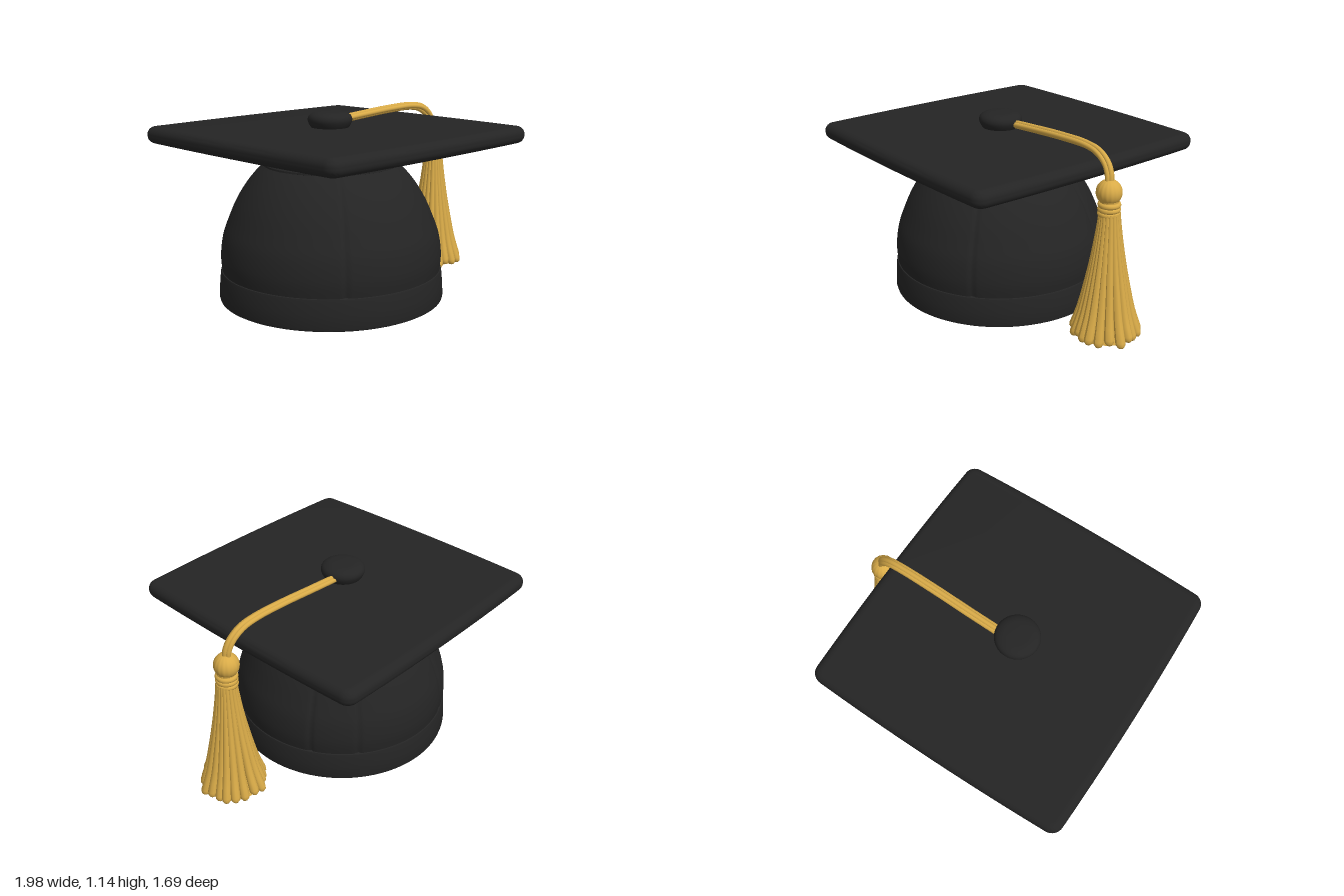
import * as THREE from 'three';
import { toCreasedNormals } from 'three/addons/utils/BufferGeometryUtils.js';

const black = new THREE.MeshStandardMaterial({ color: 0x242424 });
black.name = 'black cloth';
const gold = new THREE.MeshStandardMaterial({ color: 0xd9ab48 });
gold.name = 'gold thread';

const CAP_X = -0.2;
const TASSEL_X = 0.78;
const rad = THREE.MathUtils.degToRad;
const v2 = (pts) => pts.map(([x, y]) => new THREE.Vector2(x, y));
const smooth = (pts, n) => new THREE.SplineCurve(v2(pts)).getPoints(n);

function add(parent, name, geometry, material, x = 0, y = 0, z = 0) {
  const mesh = new THREE.Mesh(geometry, material);
  mesh.name = name;
  mesh.position.set(x, y, z);
  parent.add(mesh);
}

const creasedLathe = (points, segments) =>
  toCreasedNormals(new THREE.LatheGeometry(points, segments), 0.7);

// Dome with shallow stitched grooves between the cloth panels
function domeGeometry() {
  const profile = smooth([[0.672, 0.18], [0.679, 0.28], [0.663, 0.4], [0.628, 0.5],
    [0.58, 0.61], [0.52, 0.71], [0.455, 0.79], [0.4, 0.84]], 32);
  const geo = new THREE.LatheGeometry(profile, 288);
  const seams = [-37, 37, 116, 141, 202, 223].map(rad);
  const pos = geo.attributes.position;
  for (let i = 0; i < pos.count; i++) {
    const x = pos.getX(i), z = pos.getZ(i), phi = Math.atan2(x, z);
    let k = 1;
    for (const s of seams) {
      const d = Math.atan2(Math.sin(phi - s), Math.cos(phi - s)) / 0.02;
      k -= 0.014 * Math.exp(-d * d);
    }
    pos.setX(i, x * k);
    pos.setZ(i, z * k);
  }
  geo.computeVertexNormals();
  return geo;
}

// Square board with gently bowed sides and a rounded rim
function boardGeometry() {
  const c = 0.78, d = 0.025, shape = new THREE.Shape();
  const turn = (x, y, k) => {
    for (let i = 0; i < k; i++) [x, y] = [-y, x];
    return [x, y];
  };
  shape.moveTo(c, -c + d);
  for (let k = 0; k < 4; k++) {
    shape.quadraticCurveTo(...turn(c + 0.03, 0, k), ...turn(c, c - d, k));
    shape.quadraticCurveTo(...turn(c, c, k), ...turn(c - d, c, k));
  }
  const geo = new THREE.ExtrudeGeometry(shape, {
    depth: 0.01, bevelThickness: 0.047, bevelSize: 0.05, bevelSegments: 7, curveSegments: 10,
  });
  geo.rotateX(-Math.PI / 2);
  return toCreasedNormals(geo, 0.8);
}

// Tassel outline: distance of a strand from the axis at height y
const flare = new THREE.SplineCurve(v2([[0.05, 0.78], [0.065, 0.7], [0.086, 0.56],
  [0.112, 0.37], [0.142, 0.18], [0.182, 0.01]]));

// One thread: a tapered round strand bent along the tassel outline
function strandGeometry(angle, bottom, spread, thick) {
  const H = 0.78 - bottom;
  const profile = [[0, 0], [0.6, 0.006], [0.92, 0.02], [1, 0.04]]
    .map(([r, y]) => [r * thick, y]);
  for (let i = 1; i <= 12; i++) {
    const t = i / 12;
    profile.push([thick * (1 - 0.58 * Math.pow(t, 0.8)), 0.04 + (H - 0.04) * t]);
  }
  const geo = new THREE.LatheGeometry(v2(profile), 10);
  const pos = geo.attributes.position;
  for (let i = 0; i < pos.count; i++) {
    const t = THREE.MathUtils.clamp(pos.getY(i) / H, 0, 1);
    const r = flare.getPoint(1 - t).x * (1 + (spread - 1) * (1 - t));
    pos.setXYZ(i, pos.getX(i) + r * Math.sin(angle), pos.getY(i) + bottom,
      pos.getZ(i) + r * Math.cos(angle));
  }
  geo.computeVertexNormals();
  return geo;
}

function createTassel() {
  const tassel = new THREE.Group();
  tassel.name = 'tassel';
  tassel.position.set(TASSEL_X, 0, -0.005);

  // Gathered knot with vertical ribs
  const knot = new THREE.SphereGeometry(0.075, 64, 24);
  const pos = knot.attributes.position;
  for (let i = 0; i < pos.count; i++) {
    const a = Math.atan2(pos.getX(i), pos.getZ(i));
    const k = 1 - 0.03 * Math.pow(Math.abs(Math.cos(a * 8)), 6);
    pos.setXYZ(i, pos.getX(i) * k, pos.getY(i), pos.getZ(i) * k);
  }
  knot.computeVertexNormals();
  add(tassel, 'knot', knot, gold, -0.01, 0.895, 0);

  // Binding wound around the neck
  for (let i = 0; i < 3; i++) {
    const ring = new THREE.TorusGeometry(0.05, 0.017, 10, 32);
    ring.rotateX(Math.PI / 2);
    add(tassel, 'neckBinding', ring, gold, -0.005, 0.77 + i * 0.027, 0);
  }
  add(tassel, 'neckCore', new THREE.CylinderGeometry(0.055, 0.055, 0.1, 24), gold, -0.005, 0.8, 0);

  // Solid centre, closed underneath
  const core = flare.getPoints(14).map((p) => new THREE.Vector2(p.x * 0.97, Math.max(p.y, 0.025)));
  core.push(new THREE.Vector2(0, 0.025));
  add(tassel, 'skirtCore', creasedLathe(core.reverse(), 32), gold);

  // Ring of hanging threads
  const count = 20;
  for (let i = 0; i < count; i++) {
    const a = (i / count) * Math.PI * 2 + 0.05 * Math.sin(i * 5.3);
    const bottom = 0.016 + 0.01 * Math.sin(i * 2.7);
    add(tassel, 'thread', strandGeometry(a, bottom, 1 + 0.05 * Math.sin(i * 1.9), 0.03), gold);
  }
  return tassel;
}

export function createModel() {
  const model = new THREE.Group();
  model.name = 'graduationCap';

  // Head band, closed underneath
  add(model, 'headBand', creasedLathe(v2([[0, 0.004], [0.68, 0.004], [0.69, 0.01], [0.694, 0.025],
    [0.69, 0.1], [0.683, 0.175], [0.679, 0.19], [0.668, 0.195], [0.64, 0.195]]), 96), black, CAP_X);

  add(model, 'dome', domeGeometry(), black, CAP_X);

  // Crown with a raised lip, flaring out under the board
  add(model, 'crown', creasedLathe(v2([[0.37, 0.825], [0.4, 0.826], [0.411, 0.832], [0.41, 0.842],
    [0.385, 0.866], [0.345, 0.893], [0.305, 0.914], [0.3, 0.924], [0.34, 0.933],
    [0.42, 0.945], [0.52, 0.957]]), 96), black, CAP_X);

  add(model, 'board', boardGeometry(), black, -0.153, 0.997);

  // Button on top
  add(model, 'button', new THREE.LatheGeometry(smooth([[0.105, 1.04], [0.125, 1.07], [0.135, 1.1],
    [0.124, 1.127], [0.09, 1.143], [0.045, 1.147], [0, 1.148]], 24), 48), black, CAP_X, 0, -0.005);

  // Cord of side-by-side strands running over the edge of the board
  const cord = new THREE.Group();
  cord.name = 'cord';
  model.add(cord);
  for (const [dz, dy] of [[-0.015, 0], [0.015, 0], [0, 0.01], [0, -0.012]]) {
    const path = new THREE.CatmullRomCurve3([[-0.12, 1.085, -0.03], [0.1, 1.1, -0.03],
      [0.35, 1.115, -0.027], [0.56, 1.117, -0.025], [0.66, 1.098, -0.022], [0.73, 1.05, -0.017],
      [0.763, 0.99, -0.01], [0.77, 0.93, -0.005]].map(([x, y, z]) =>
      new THREE.Vector3(x + (x > 0.6 ? dy : 0), y + dy, z + dz)));
    add(cord, 'cordStrand', new THREE.TubeGeometry(path, 64, 0.0155, 10), gold);
  }

  model.add(createTassel());
  return model;
}
